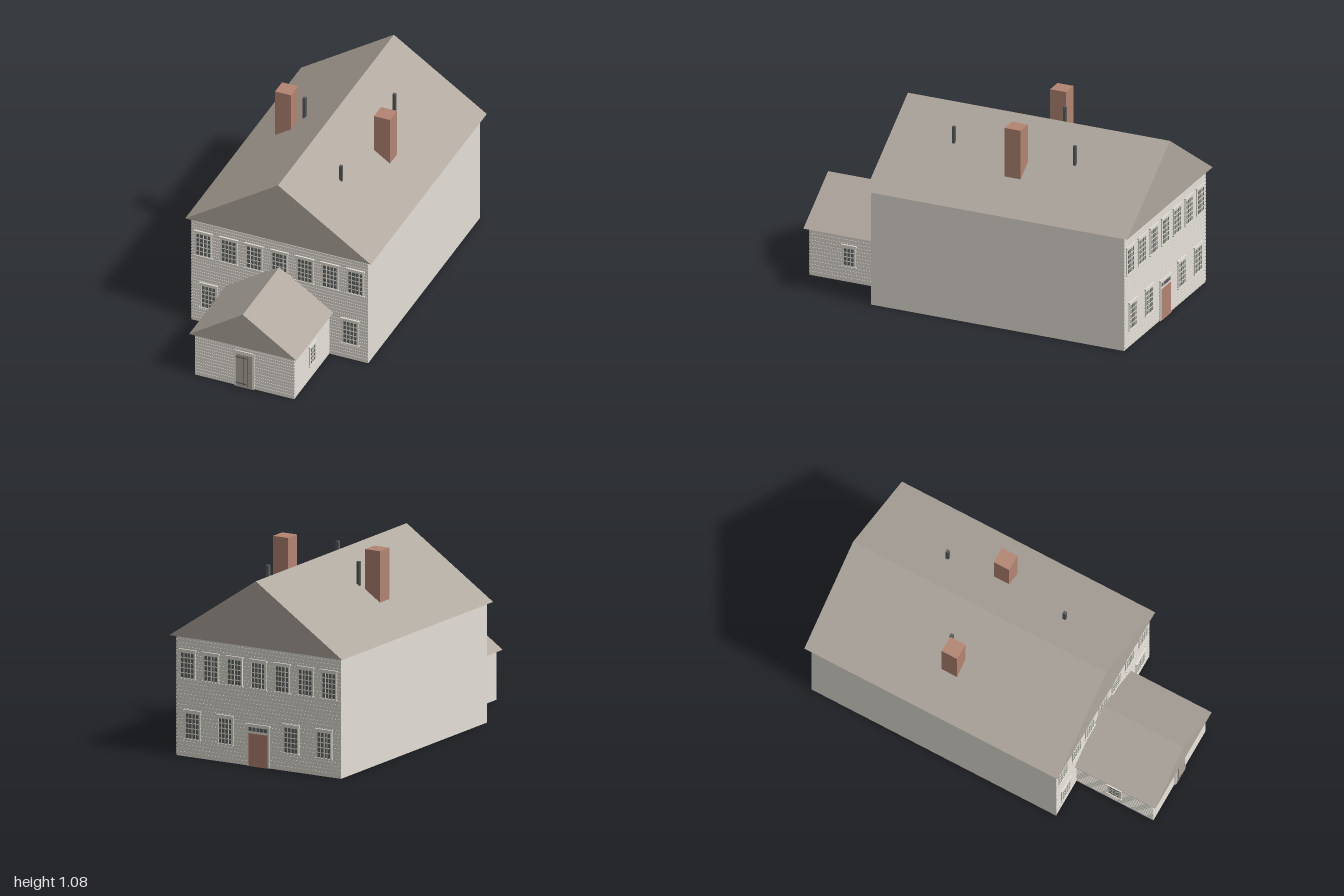
import * as THREE from 'three';

const mat = (name, color, side = THREE.FrontSide) => {
  const m = new THREE.MeshStandardMaterial({ color, side });
  m.name = name;
  return m;
};
const M = {
  wall: mat('wall paint', 0xe5e0d8, THREE.DoubleSide),
  trim: mat('window trim', 0xe4e0d6),
  glass: mat('dark glass', 0x646967),
  roof: mat('roof taupe', 0xb0a89f),
  brick: mat('brick', 0xb48573),
  pipe: mat('pipe iron', 0x5a5d5d),
};

function add(parent, name, geo, material, x = 0, y = 0, z = 0) {
  const mesh = new THREE.Mesh(geo, material);
  mesh.name = name;
  mesh.position.set(x, y, z);
  parent.add(mesh);
  return mesh;
}
const box = (parent, name, m, w, h, d, x, y, z) =>
  add(parent, name, new THREE.BoxGeometry(w, h, d), m, x, y, z);

// Walls and ceiling with no floor; the back can be left off too
function walls(parent, name, w, h, z0, z1, openBack) {
  const geo = new THREE.BoxGeometry(w, h, z1 - z0);
  const idx = Array.from(geo.index.array);
  geo.setIndex([...idx.slice(0, 18), ...idx.slice(24, openBack ? 30 : 36)]);
  geo.clearGroups();
  add(parent, name, geo, M.wall, 0, h / 2, (z0 + z1) / 2);
}

// Solid triangular roof running along z
function gableRoof(parent, name, half, y0, y1, z0, z1) {
  const s = new THREE.Shape([
    new THREE.Vector2(-half, y0), new THREE.Vector2(half, y0), new THREE.Vector2(0, y1),
  ]);
  add(parent, name, new THREE.ExtrudeGeometry(s, { depth: z1 - z0, bevelEnabled: false }),
    M.roof, 0, 0, z0);
}

// A wall face: local x along the wall, y up, z outward
function face(parent, name, x, z, turn) {
  const g = new THREE.Group();
  g.name = name;
  g.position.set(x, 0, z);
  g.rotation.y = turn;
  parent.add(g);
  return g;
}

// Clapboards standing slightly proud of the wall, with a gap between them
function siding(parent, w, h) {
  const step = 0.0198;
  const geo = new THREE.BoxGeometry(w, 0.0135, 0.002);
  for (let y = 0.018; y < h - 0.01; y += step) add(parent, 'clapboard', geo, M.wall, 0, y, 0.001);
}

// Casing with one hole per pane; the sash sits a little below the middle
function casingGeometry(w, h, gw, gh, cols, rows, bar, drop) {
  const rect = (P, x0, y0, x1, y1) => {
    const p = new P();
    p.moveTo(x0, y0);
    p.lineTo(x1, y0);
    p.lineTo(x1, y1);
    p.lineTo(x0, y1);
    p.closePath();
    return p;
  };
  const s = rect(THREE.Shape, -w / 2, -h / 2, w / 2, h / 2);
  const pw = (gw - bar * (cols - 1)) / cols, ph = (gh - bar * (rows - 1)) / rows;
  for (let i = 0; i < cols; i++) {
    for (let j = 0; j < rows; j++) {
      const x = -gw / 2 + i * (pw + bar), y = -gh / 2 - drop + j * (ph + bar);
      s.holes.push(rect(THREE.Path, x, y, x + pw, y + ph));
    }
  }
  return new THREE.ExtrudeGeometry(s, { depth: 0.008, bevelEnabled: false });
}
const largeCasing = casingGeometry(0.098, 0.157, 0.078, 0.134, 4, 5, 0.005, 0.006);
const smallCasing = casingGeometry(0.08, 0.122, 0.056, 0.096, 3, 4, 0.005, 0.005);

function sashWindow(parent, casing, w, h, x, y) {
  const g = new THREE.Group();
  g.name = 'window';
  g.position.set(x, y, 0);
  add(g, 'casing', casing, M.trim);
  box(g, 'glass', M.glass, w * 0.85, h * 0.96, 0.003, 0, 0, 0.005);
  box(g, 'header', M.trim, w + 0.01, 0.008, 0.012, 0, h / 2 - 0.001, 0.006);
  box(g, 'sill', M.trim, w + 0.01, 0.005, 0.012, 0, -h / 2, 0.006);
  parent.add(g);
}
const largeWindow = (p, x, y) => sashWindow(p, largeCasing, 0.098, 0.157, x, y);
const upperRow = (p) => {
  for (let i = -3; i <= 3; i++) largeWindow(p, i * 0.1467, 0.505);
};

export function createModel() {
  const house = new THREE.Group();
  house.name = 'house';

  // Main block and front annex
  walls(house, 'mainWalls', 1.024, 0.655, -0.97, 0.51, false);
  gableRoof(house, 'mainRoof', 0.538, 0.658, 1.02, -1, 0.533);
  walls(house, 'annexWalls', 0.574, 0.269, 0.51, 0.975, true);
  gableRoof(house, 'annexRoof', 0.311, 0.271, 0.482, 0.503, 1);

  // Main front
  const front = face(house, 'mainFront', 0, 0.51, 0);
  siding(front, 1.024, 0.655);
  upperRow(front);
  for (const x of [-0.41, 0.41]) largeWindow(front, x, 0.177);

  // Main back with its brick-coloured door and transom
  const back = face(house, 'mainBack', 0, -0.97, Math.PI);
  siding(back, 1.024, 0.655);
  upperRow(back);
  for (const x of [-0.41, -0.205, 0.205, 0.41]) largeWindow(back, x, 0.177);
  const backDoor = new THREE.Group();
  backDoor.name = 'backDoor';
  back.add(backDoor);
  box(backDoor, 'doorFrame', M.trim, 0.14, 0.225, 0.007, 0, 0.1125, 0.0035);
  box(backDoor, 'doorHeader', M.trim, 0.15, 0.01, 0.012, 0, 0.227, 0.006);
  box(backDoor, 'doorLeaf', M.brick, 0.118, 0.18, 0.004, 0, 0.09, 0.007);
  for (let i = -2; i <= 2; i++) {
    box(backDoor, 'transomPane', M.glass, 0.019, 0.02, 0.002, i * 0.024, 0.203, 0.007);
  }

  // Annex front with a boarded door
  const porch = face(house, 'annexFront', 0, 0.975, 0);
  siding(porch, 0.574, 0.269);
  const door = new THREE.Group();
  door.name = 'frontDoor';
  porch.add(door);
  box(door, 'doorFrame', M.trim, 0.113, 0.228, 0.007, 0, 0.114, 0.0035);
  box(door, 'doorLeaf', M.roof, 0.092, 0.21, 0.004, 0, 0.105, 0.007);
  for (const x of [-0.023, 0, 0.023]) {
    box(door, 'boardJoint', M.pipe, 0.002, 0.19, 0.001, x, 0.108, 0.0093);
  }
  for (const y of [0.025, 0.19]) box(door, 'strapHinge', M.pipe, 0.06, 0.006, 0.002, -0.018, y, 0.0098);
  box(door, 'latch', M.pipe, 0.007, 0.004, 0.004, 0.038, 0.107, 0.01);

  // Annex sides
  for (const s of [-1, 1]) {
    const side = face(house, s > 0 ? 'annexLeftSide' : 'annexRightSide', s * 0.287, 0.7425, s * Math.PI / 2);
    siding(side, 0.465, 0.269);
    sashWindow(side, smallCasing, 0.08, 0.122, 0, 0.151);
  }

  // Chimneys and square vent pipes, standing in the roof slopes
  for (const s of [-1, 1]) box(house, 'chimney', M.brick, 0.093, 0.28, 0.093, s * 0.2865, 0.937, -0.234);
  const vents = [[-0.206, -0.29, 1.008], [0.205, -0.54, 0.988], [0.205, 0.168, 0.972]];
  for (const [x, z, top] of vents) {
    const h = top - 0.875;
    box(house, 'ventPipe', M.pipe, 0.017, h, 0.017, x, top - h / 2, z);
  }
  return house;
}
